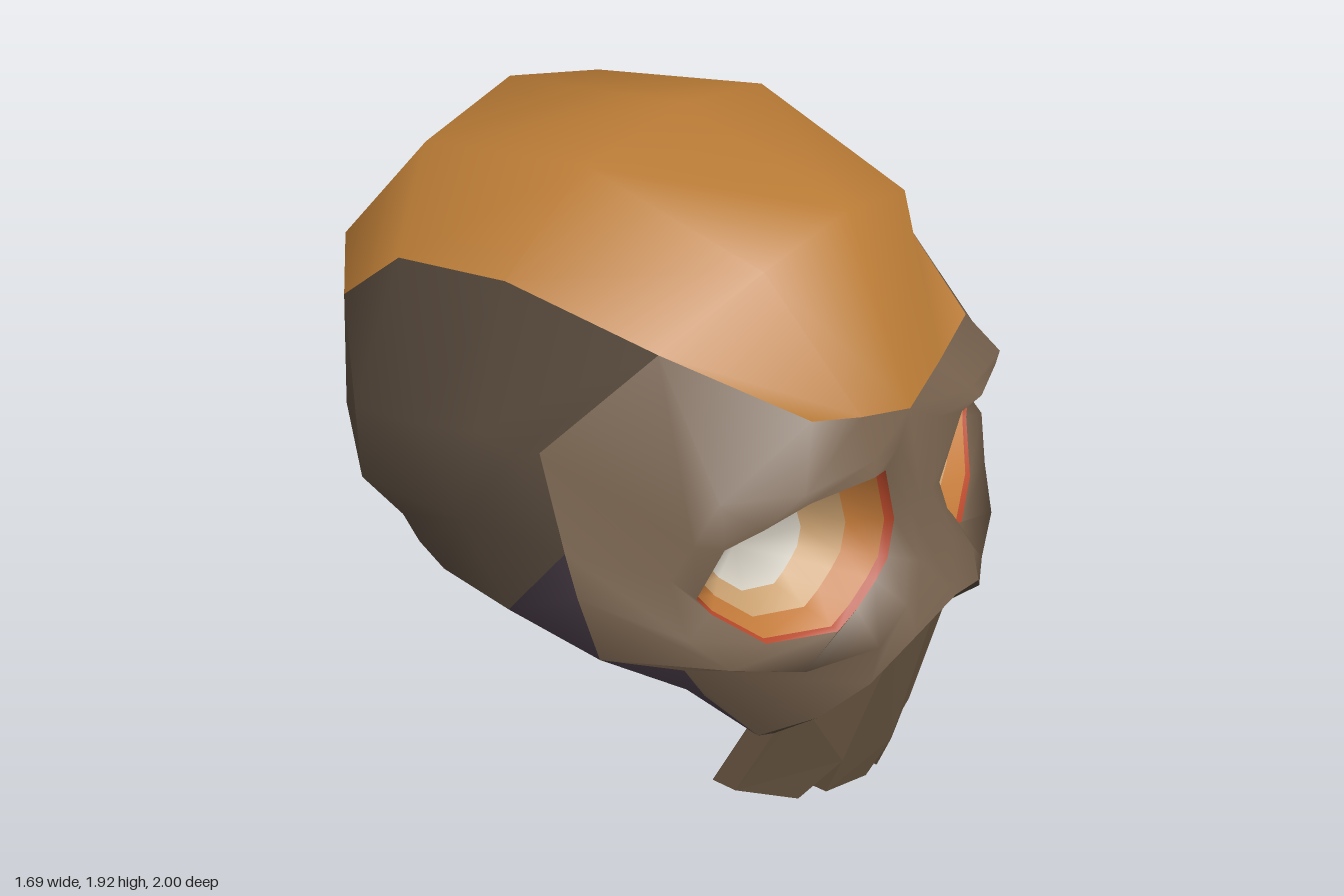
import * as THREE from 'three';
import { mergeVertices, mergeGeometries } from 'three/addons/utils/BufferGeometryUtils.js';

// Skin a strip of cross-sections (rows of [x, y, z]) for the +x half.
function skin(rows, closed = false) {
  const n = rows[0].length, index = [];
  for (let r = 0; r < rows.length - 1; r++) {
    for (let i = 0; i < (closed ? n : n - 1); i++) {
      const j = (i + 1) % n, a = r * n, b = a + n;
      index.push(a + i, a + j, b + i, a + j, b + j, b + i);
    }
  }
  const g = new THREE.BufferGeometry();
  g.setAttribute('position', new THREE.Float32BufferAttribute(rows.flat(2), 3));
  g.setIndex(index);
  return g;
}

// Mirrored copy on the -x side with the winding turned round.
function mirrored(g) {
  const m = g.clone().scale(-1, 1, 1), ix = m.index.array;
  for (let t = 0; t < ix.length; t += 3) [ix[t], ix[t + 1]] = [ix[t + 1], ix[t]];
  return m;
}

const material = (color, flatShading = false) => new THREE.MeshStandardMaterial({
  color, flatShading, side: THREE.DoubleSide,
});

// Join half surfaces with their mirror images into one smooth mesh.
function shell(name, color, halves) {
  const g = mergeVertices(mergeGeometries(halves.flatMap((h) => [h, mirrored(h)])), 1e-4);
  g.computeVertexNormals();
  const mesh = new THREE.Mesh(g, material(color));
  mesh.name = name;
  return mesh;
}

const repeat = (p, n) => Array.from({ length: n }, () => p);

export function createModel() {
  const model = new THREE.Group();
  model.name = 'skull';

  // Skull cap: centre line, middle line and edge, from brow to a point at the nape
  const nape = [0, 0.56, -0.69];
  const capCentre = [[0, 1.24, 0.82], [0, 1.75, 0.6], [0, 1.93, 0.07], [0, 1.88, -0.55], [0, 1.43, -1], [0, 0.89, -0.96], nape];
  const capMiddle = [[0.2, 1.29, 0.79], [0.34, 1.69, 0.57], [0.4, 1.87, 0.05], [0.38, 1.8, -0.53], [0.35, 1.42, -0.91], [0.25, 0.9, -0.92], nape];
  const capEdge = [[0.39, 1.35, 0.76], [0.58, 1.51, 0.42], [0.67, 1.63, 0], [0.645, 1.58, -0.4], [0.6, 1.38, -0.67], [0.45, 0.91, -0.86], nape];
  model.add(shell('skullCap', 0xb87a35, [skin([capEdge, capMiddle, capCentre])]));

  // Temples: domes closing the sides of the cap and meeting under the nape
  const baseBack = [0, 0.42, -0.19], jawBack = [0.7, 0.68, -0.25], keel = [0.36, 0.545, -0.4];
  const jawHinge = [0.8, 0.73, 0.08], templeFront = [0.82, 1, 0.3], browBack = [0.79, 1.25, 0.2];
  const templeEdge = [browBack, ...capEdge.slice(1), keel, baseBack, jawBack, jawHinge, templeFront];
  const templeBulge = [templeFront, [0.8, 1.22, 0.12], [0.8, 1.25, 0], [0.8, 1.2, -0.22], [0.735, 1.13, -0.52],
    [0.73, 0.9, -0.52], [0.6, 0.72, -0.5], [0.68, 0.72, -0.36], jawBack, jawBack, jawHinge, templeFront];
  const templePeak = repeat([0.83, 0.98, -0.05], templeEdge.length);
  model.add(shell('temples', 0x57493c, [
    skin([templePeak, templeBulge, templeEdge]),
    skin([[nape, keel], [baseBack, baseBack]]),
  ]));

  // Skull base: from the cheeks and palate back to a shallow V behind the jaw hinges
  const cheekLow = [0.64, 0.64, 0.55], cheekTop = [0.845, 0.9, 0.36], cheekOut = [0.845, 0.74, 0.43];
  const mouthCorner = [0.385, 0.3, 0.62], jowl = [0.505, 0.465, 0.52];
  model.add(shell('skullBase', 0x463a44, [
    skin([
      [cheekLow, jowl, mouthCorner, [0.22, 0.28, 0.6], [0, 0.28, 0.62]],
      [cheekOut, [0.66, 0.65, 0.36], [0.48, 0.46, 0.32], [0.25, 0.39, 0.28], [0, 0.38, 0.27]],
      [jawHinge, [0.66, 0.65, 0.05], [0.47, 0.5, 0.05], [0.24, 0.42, 0.05], [0, 0.4, 0.05]],
      [jawBack, [0.52, 0.615, -0.235], [0.35, 0.55, -0.22], [0.18, 0.487, -0.205], baseBack],
    ]),
    skin([[templeFront, cheekTop, cheekOut], repeat(jawHinge, 3)]),
  ]));

  // Face: rings spreading from the eye rim to brow, temple, cheek and nose
  const eyeRim = [[0.12, 0.97, 0.86], [0.2, 1.16, 0.87], [0.28, 1.18, 0.885], [0.48, 1.175, 0.82], [0.58, 1.12, 0.75],
    [0.65, 1.07, 0.68], [0.7, 0.93, 0.63], [0.66, 0.87, 0.65], [0.54, 0.75, 0.74], [0.33, 0.71, 0.83],
    [0.27, 0.76, 0.85], [0.21, 0.82, 0.865], [0.16, 0.87, 0.87]];
  const ridge = [[0.06, 0.98, 0.87], [0.1, 1.18, 0.85], [0.25, 1.21, 0.865], [0.5, 1.21, 0.82], [0.645, 1.19, 0.66],
    [0.685, 1.07, 0.61], [0.72, 0.97, 0.56], [0.76, 0.84, 0.65], [0.67, 0.73, 0.72], [0.5, 0.68, 0.84],
    [0.28, 0.67, 0.93], [0.18, 0.76, 0.95], [0.09, 0.85, 0.93]];
  const archOuter = [[0, 0.72, 1], [0.17, 0.67, 0.98], [0.3, 0.56, 0.92], [0.36, 0.43, 0.8], mouthCorner];
  const faceEdge = [[0, 0.98, 0.87], capCentre[0], capMiddle[0], capEdge[0], capEdge[1], browBack, templeFront,
    cheekTop, cheekOut, cheekLow, archOuter[2], archOuter[1], archOuter[0]];
  model.add(shell('face', 0x75604c, [
    skin([eyeRim, ridge, faceEdge], true),
    skin([archOuter.slice(2), [cheekLow, cheekLow, jowl]]),
  ]));

  // Curved front of the upper jaw
  const jawFront = (x, y) => 0.77 + 0.45 * y - 0.3 * y * y - 1.6 * x * x;
  const archInner = [[0, 0.62], [0.14, 0.59], [0.25, 0.5], [0.33, 0.42], [0.37, 0.32]];

  // Nasal ledge: the dark arch over the upper jaw
  model.add(shell('nasalLedge', 0x4c4034, [
    skin([archInner.map(([x, y]) => [x, y, jawFront(x, y)]), archOuter]),
  ]));

  // Eye sockets: coloured bands from the rim to a pale floor
  const floor = [0.42, 0.92, 0.55];
  const socketRing = (inset, depth) => eyeRim.map((p) => p.map((v, k) => v + (floor[k] - v) * (k < 2 ? inset : depth)));
  const bands = [[0, 0, 0.05, 0.07], [0.05, 0.07, 0.25, 0.34], [0.25, 0.34, 0.5, 0.64], [0.5, 0.64, 1, 1]];
  const socketColors = [0xb5472a, 0xc27a3a, 0xc9a070, 0xd2ccc0];
  const sockets = new THREE.Group();
  sockets.name = 'eyeSockets';
  bands.forEach(([i0, d0, i1, d1], k) => {
    sockets.add(shell(['socketRim', 'socketWall', 'socketInner', 'socketFloor'][k], socketColors[k],
      [skin([socketRing(i1, d1), socketRing(i0, d0)], true)]));
  });
  model.add(sockets);

  // Upper jaw with teeth: a notched plate bent to the jaw curve, one per side
  const thickness = 0.08;
  const outline = [...archInner, [0.395, 0.08], [0.25, 0.015], [0.185, 0.16], [0.18, 0.02], [0.03, 0.005], [0, 0.15]];
  const plate = new THREE.ExtrudeGeometry(
    new THREE.Shape(outline.map((p) => new THREE.Vector2(...p))), { depth: thickness, bevelEnabled: false });
  const pos = plate.attributes.position;
  for (let i = 0; i < pos.count; i++) {
    pos.setZ(i, pos.getZ(i) - thickness + jawFront(pos.getX(i), pos.getY(i)));
  }
  plate.deleteAttribute('uv');
  plate.deleteAttribute('normal');
  const half = mergeVertices(plate);
  [half, mirrored(half)].forEach((g, k) => {
    g.computeVertexNormals();
    const teeth = new THREE.Mesh(g, material(0x65533f, true));
    teeth.name = k ? 'rightUpperTeeth' : 'leftUpperTeeth';
    model.add(teeth);
  });

  return model;
}
